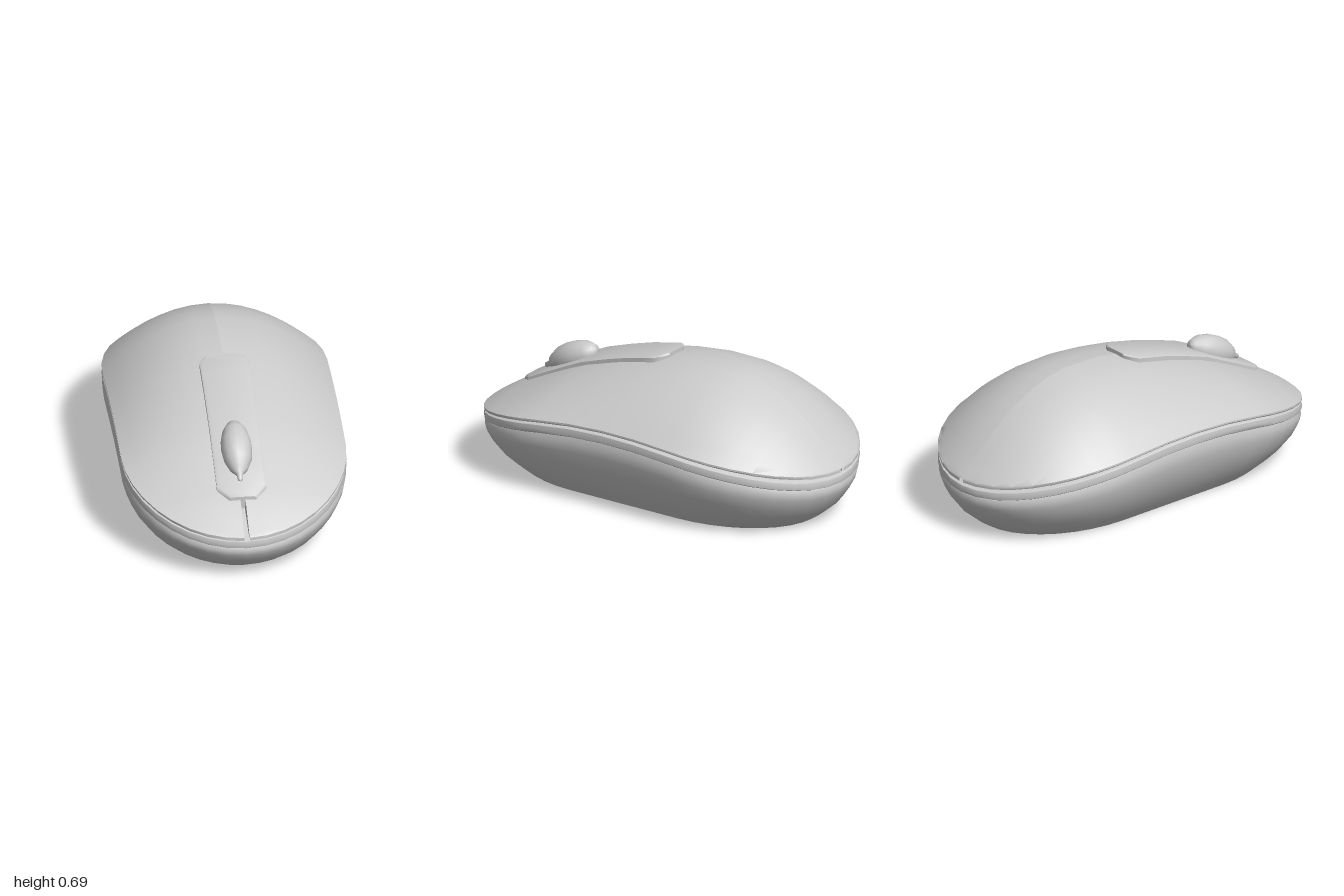
import * as THREE from 'three';
import { toCreasedNormals } from 'three/addons/utils/BufferGeometryUtils.js';

const WIDTH = 0.545;
const material = new THREE.MeshStandardMaterial({ color: 0xcccccc, side: THREE.DoubleSide });

// Plan outline: straight sides with elliptical ends
function halfWidth(z) {
  const t = z > 0.42 ? (z - 0.42) / 0.58 : z < -0.35 ? (z + 0.35) / 0.65 : 0;
  return WIDTH * Math.sqrt(Math.max(0, 1 - t * t));
}

// Stations from front to back, closer together towards the ends
const STEPS = 9;
const stations = [];
for (let i = 0; i <= STEPS; i++) stations.push(0.42 + 0.58 * Math.cos((i / STEPS) * Math.PI / 2));
stations.push(0.23, 0.04, -0.15);
for (let i = 0; i <= STEPS; i++) stations.push(-0.35 - 0.65 * Math.sin((i / STEPS) * Math.PI / 2));

// Arched seam along the side, and the lower edge of the top shell
const seam = (z) => 0.365 - (z > 0 ? 0.175 : 0.14) * z * z;
const shellEdge = (z) => seam(z) + 0.05 + 0.006 * (1 - z);

// Height of the centre line of the top shell
const RIDGE = [[1, 0.258], [0.84, 0.36], [0.65, 0.455], [0.46, 0.545], [0.32, 0.592], [0.19, 0.63],
  [0, 0.672], [-0.13, 0.692], [-0.26, 0.7], [-0.35, 0.695], [-0.45, 0.68], [-0.64, 0.606],
  [-0.815, 0.483], [-1, 0.306]];
function ridge(z) {
  let i = 0;
  while (i < RIDGE.length - 2 && z < RIDGE[i + 1][0]) i++;
  const [z0, y0] = RIDGE[i], [z1, y1] = RIDGE[i + 1];
  return y0 + (y1 - y0) * (z - z0) / (z1 - z0);
}

// Skin a list of equally long rows of points
function skin(rows, positions = []) {
  for (let i = 0; i < rows.length - 1; i++) {
    for (let j = 0; j < rows[i].length - 1; j++) {
      const a = rows[i][j], b = rows[i][j + 1], c = rows[i + 1][j + 1], d = rows[i + 1][j];
      positions.push(...a, ...b, ...d, ...b, ...c, ...d);
    }
  }
  return positions;
}

function makeMesh(name, positions, crease = 0.75) {
  const geometry = new THREE.BufferGeometry();
  geometry.setAttribute('position', new THREE.Float32BufferAttribute(positions, 3));
  const mesh = new THREE.Mesh(toCreasedNormals(geometry, crease), material);
  mesh.name = name;
  return mesh;
}

// Closed ring around the outline, scaled in x and z
function ring(sx, sz, height) {
  const right = stations.map((z) => [halfWidth(z) * sx, height(z), z * sz]);
  const left = right.slice(0, -1).reverse().map(([x, y, z]) => [-x, y, z]);
  return [...right, ...left];
}

// Solid made of stacked rings, capped at both ends
function ringSolid(name, rings) {
  const positions = skin(rings);
  const cap = (r, up) => stations.map((_, i) => {
    const pair = [r[r.length - 1 - i], r[i]];
    return up ? pair : pair.reverse();
  });
  skin(cap(rings[0], false), positions);
  skin(cap(rings[rings.length - 1], true), positions);
  return makeMesh(name, positions);
}

// One half of the domed shell, with the slot between the buttons cut from the front
function shellHalf(name, side) {
  const slotEnd = 0.8, slot = 0.012;
  const rows = [
    ...stations.filter((z) => z > slotEnd).map((z) => [z, slot]),
    [slotEnd, slot], [slotEnd, 0],
    ...stations.filter((z) => z < slotEnd).map((z) => [z, 0]),
  ].map(([z, inner]) => {
    const w = Math.max(halfWidth(z), 0.013);
    const bottom = shellEdge(z), lip = bottom + 0.016;
    const rise = Math.max(0, ridge(z) - lip);
    const section = [[inner, bottom], [w * 0.985, bottom], [w, bottom + 0.007], [w, lip]];
    for (const t of [0.9, 0.78, 0.64, 0.5, 0.34, 0.17, 0]) {
      section.push([Math.max(inner, t * w), lip + rise * (1 - t * t)]);
    }
    section.push([inner, bottom]);
    const row = section.map(([x, y]) => [side * x, y, z]);
    return side > 0 ? row.reverse() : row;
  });
  return makeMesh(name, skin(rows));
}

// Raised strip with clipped corners that follows the ridge
function centreStrip() {
  const plan = [[0.825, 0.065], [0.77, 0.12], [0.65, 0.12], [0.55, 0.12], [0.46, 0.12], [0.32, 0.12],
    [0.19, 0.12], [0.1, 0.12], [0.03, 0.12], [0, 0.095], [-0.02, 0.06]];
  const rows = plan.map(([z, h]) => {
    const y = ridge(z) + 0.016;
    return [[-h, y - 0.05], [-h, y - 0.007], [-h + 0.012, y], [h - 0.012, y], [h, y - 0.007], [h, y - 0.05]]
      .map(([x, py]) => [x, py, z]);
  });
  // Vertical walls at both ends
  const wall = (row) => row.map(([x, , z]) => [x, row[0][1], z]);
  return makeMesh('centreStrip', skin([wall(rows[0]), ...rows, wall(rows[rows.length - 1])]));
}

// Teardrop wheel lying along the slope, narrow tip to the front
function scrollWheel() {
  const profile = [[0, -0.17], [0.03, -0.163], [0.058, -0.12], [0.073, -0.06], [0.075, -0.01],
    [0.067, 0.05], [0.042, 0.105], [0.016, 0.13], [0.012, 0.16], [0, 0.17]]
    .map(([r, y]) => new THREE.Vector2(r, y));
  const mesh = new THREE.Mesh(new THREE.LatheGeometry(profile, 16), material);
  mesh.name = 'scrollWheel';
  mesh.rotation.x = Math.PI / 2 + 0.46;
  mesh.position.set(-0.004, 0.505, 0.605);
  return mesh;
}

export function createModel() {
  const model = new THREE.Group();
  model.name = 'computerMouse';

  // Lower body: narrow flat base flaring out to the seam
  const bodyLevels = [[0.68, 0.82, 0], [0.77, 0.872, 0.16], [0.855, 0.92, 0.34], [0.935, 0.958, 0.56],
    [0.985, 0.985, 0.78], [0.997, 0.994, 0.92], [0.985, 0.988, 1]];
  model.add(ringSolid('lowerBody', bodyLevels.map(([sx, sz, f]) => ring(sx, sz, (z) => seam(z) * f))));

  // Rounded band between body and shell
  const bandLevels = [[0.982, 0], [0.996, 0.006], [1, 0.024], [0.996, 0.042], [0.982, 0.048]];
  model.add(ringSolid('sideBand', bandLevels.map(([s, dy]) => ring(s, s, (z) => seam(z) + dy))));

  model.add(shellHalf('leftShell', 1), shellHalf('rightShell', -1), centreStrip(), scrollWheel());
  return model;
}
